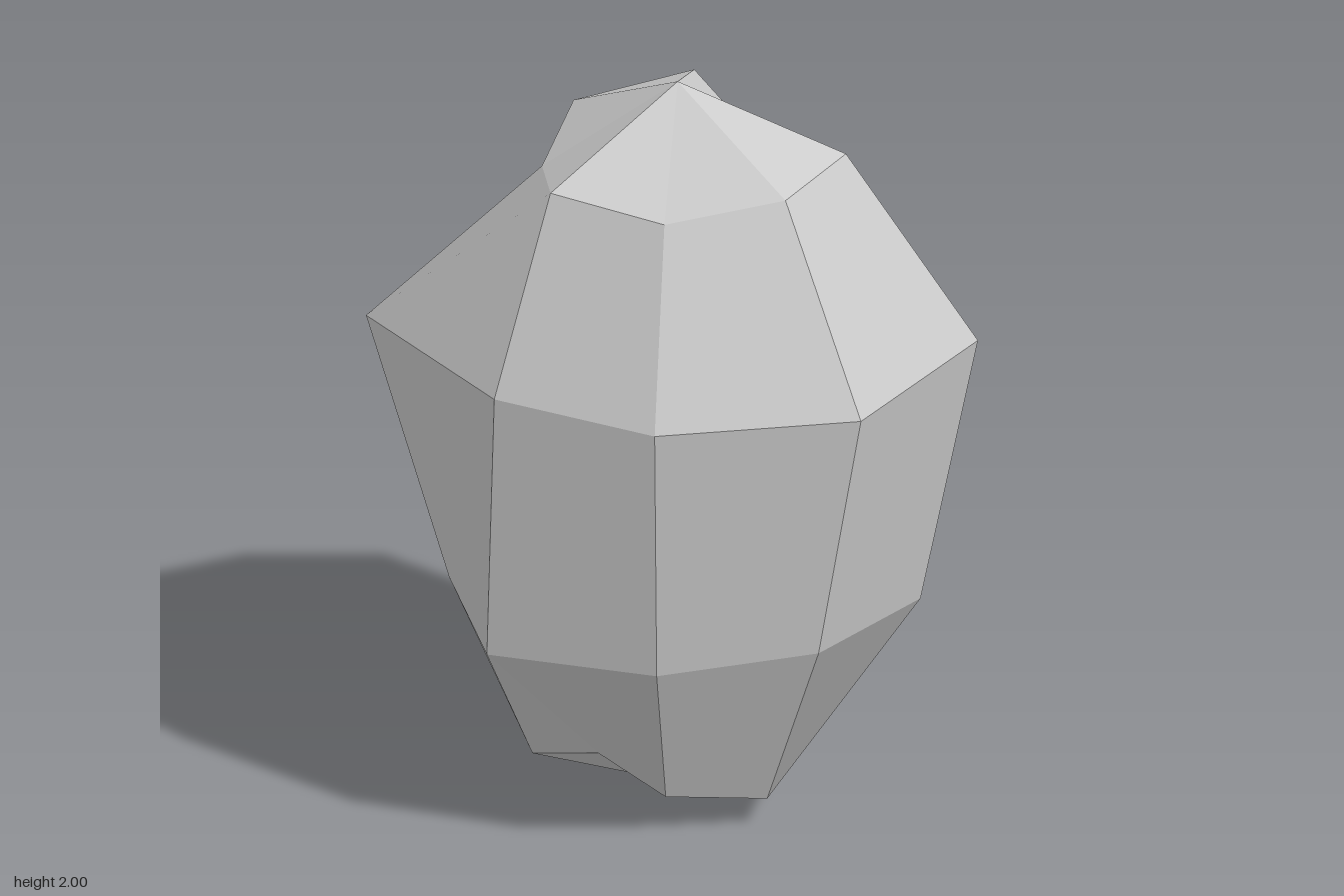
import * as THREE from 'three';

// Rings from top to bottom: height = base + slope * radius.
// Radii run round from -x through +z, +x and -z.
const RINGS = [
  { base: 1.46, slope: 0.8, radii: [0.425, 0.355, 0.43, 0.37, 0.44, 0.44, 0.31, 0.46] },
  { base: 1.18, slope: 0.145, radii: [0.7, 0.815, 0.62, 0.64, 0.748, 0.785, 0.615, 0.75] },
  { base: 0.71, slope: -0.25, radii: [0.565, 0.598, 0.645, 0.585, 0.575, 0.635, 0.49, 0.6] },
  { base: 0.393, slope: -0.86, radii: [0.33, 0.38, 0.27, 0.333, 0.365, 0.27, 0.31, 0.307] },
];
const SIDES = 8;
const AXIS = { x: -0.025, z: -0.015 };

// Corner of the rock at a ring and side
function corner(ring, side) {
  const r = ring.radii[side % SIDES];
  const a = (side / SIDES) * Math.PI * 2;
  return new THREE.Vector3(AXIS.x - r * Math.cos(a), ring.base + ring.slope * r, AXIS.z + r * Math.sin(a));
}

// Faceted boulder: a triangle fan at each end and bands of four-sided facets between
function rockGeometry() {
  const positions = [];
  const normals = [];
  const addTriangles = (points, normal) => points.forEach((p) => {
    positions.push(p.x, p.y, p.z);
    normals.push(normal.x, normal.y, normal.z);
  });
  const addCap = (a, b, c) => {
    const normal = b.clone().sub(a).cross(c.clone().sub(a)).normalize();
    addTriangles([a, b, c], normal);
  };
  // Both halves of a facet share one normal, so each facet has a single shade
  const addFacet = (a, b, c, d) => {
    const normal = c.clone().sub(a).cross(d.clone().sub(b)).normalize();
    addTriangles([a, b, c, a, c, d], normal);
  };

  const top = new THREE.Vector3(AXIS.x, 2, AXIS.z);
  const bottom = new THREE.Vector3(AXIS.x, 0, AXIS.z);
  const last = RINGS.length - 1;
  for (let s = 0; s < SIDES; s++) {
    addCap(top, corner(RINGS[0], s), corner(RINGS[0], s + 1));
    for (let i = 0; i < last; i++) {
      addFacet(
        corner(RINGS[i], s + 1), corner(RINGS[i], s),
        corner(RINGS[i + 1], s), corner(RINGS[i + 1], s + 1),
      );
    }
    addCap(bottom, corner(RINGS[last], s + 1), corner(RINGS[last], s));
  }

  const geometry = new THREE.BufferGeometry();
  geometry.setAttribute('position', new THREE.Float32BufferAttribute(positions, 3));
  geometry.setAttribute('normal', new THREE.Float32BufferAttribute(normals, 3));
  return geometry;
}

export function createModel() {
  const group = new THREE.Group();
  group.name = 'boulder';
  const rock = new THREE.Mesh(rockGeometry(), new THREE.MeshStandardMaterial({ color: 0xcccccc }));
  rock.name = 'rock';
  group.add(rock);
  return group;
}
